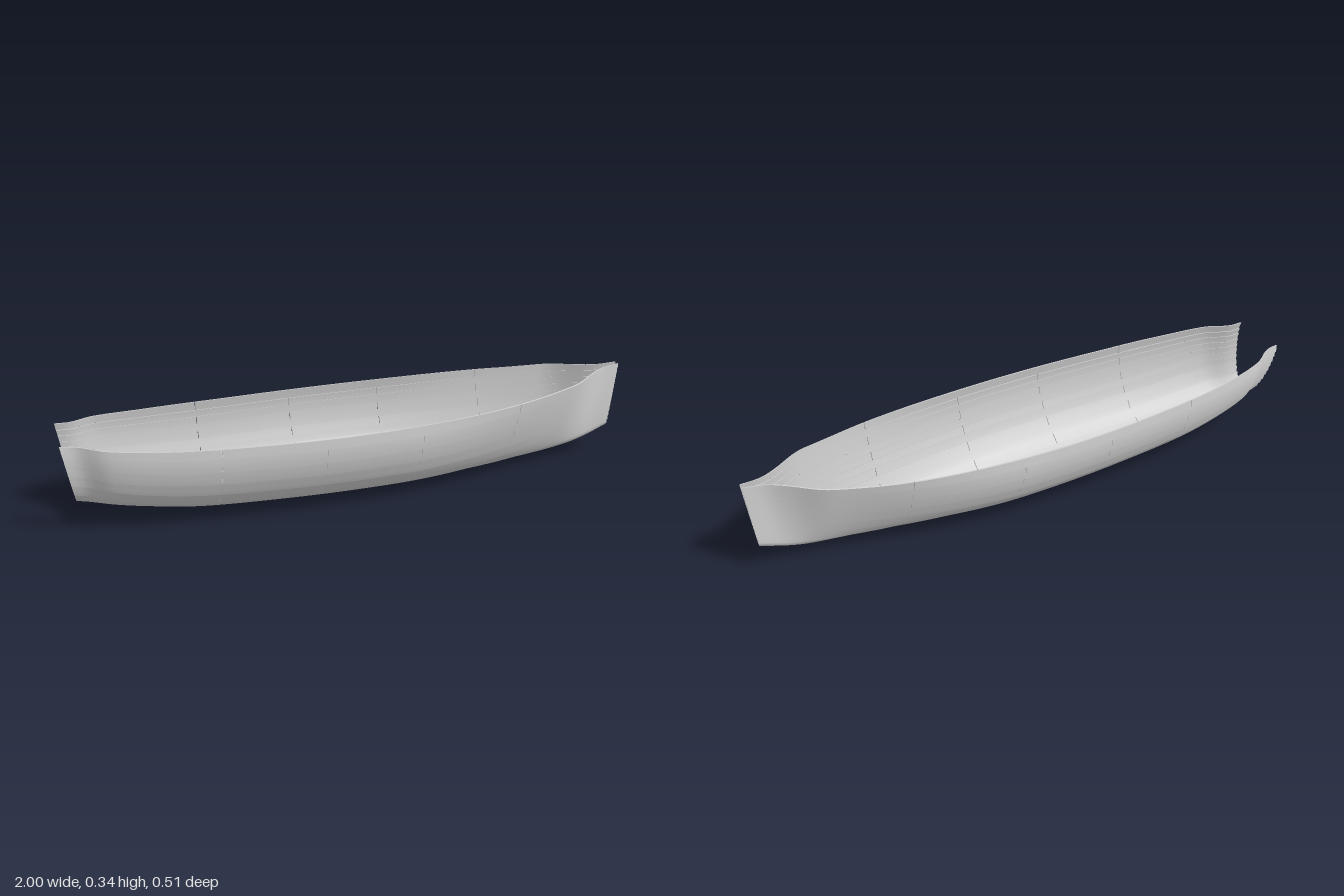
import * as THREE from 'three';

const lerp = THREE.MathUtils.lerp, smooth = THREE.MathUtils.smoothstep;
const STRAKES = 12, LAP = 0.005;

// Fair curve through [x, y] points (cubic Hermite)
function fair(pts) {
  const n = pts.length - 1;
  const slope = pts.map((p, i) => {
    const a = pts[Math.max(i - 1, 0)], b = pts[Math.min(i + 1, n)];
    return (b[1] - a[1]) / (b[0] - a[0]);
  });
  return (x) => {
    let i = 0;
    while (i < n - 1 && x > pts[i + 1][0]) i++;
    const [x0, y0] = pts[i], [x1, y1] = pts[i + 1], h = x1 - x0, t = (x - x0) / h;
    const t2 = t * t, t3 = t2 * t;
    return (2 * t3 - 3 * t2 + 1) * y0 + (t3 - 2 * t2 + t) * h * slope[i]
      + (3 * t2 - 2 * t3) * y1 + (t3 - t2) * h * slope[i + 1];
  };
}

// Lines of the hull along its length
const sheer = fair([[-1, 0.31], [-0.7, 0.29], [-0.25, 0.283], [0.2, 0.288], [0.6, 0.304], [0.8, 0.32], [1, 0.338]]);
const keel = fair([[-1, 0.08], [-0.8, 0.045], [-0.6, 0.022], [-0.3, 0.01], [0, 0.006], [0.4, 0.01],
  [0.6, 0.019], [0.8, 0.042], [0.9, 0.064], [1, 0.1]]);
const breadth = fair([[-1, 0.105], [-0.95, 0.112], [-0.87, 0.16], [-0.7, 0.2], [-0.5, 0.226], [-0.13, 0.248],
  [0.2, 0.238], [0.5, 0.2], [0.75, 0.132], [0.8, 0.108], [0.87, 0.057], [0.93, 0.023], [1, 0.011]]);

// Midship section: half breadth and height at each strake edge
const edge = (list) => fair(list.map((v, i) => [i / STRAKES, v]));
const midZ = edge([0, 0.24, 0.4, 0.55, 0.655, 0.745, 0.81, 0.87, 0.915, 0.953, 0.98, 0.997, 1]);
const midY = edge([0, 0.03, 0.08, 0.165, 0.255, 0.345, 0.435, 0.525, 0.613, 0.703, 0.8, 0.885, 1]);

// Point on the moulded surface: s along the hull, u from keel to sheer
function surface(s, u) {
  const bow = smooth(s, 0.1, 0.92), stern = 0.4 * smooth(-s, 0.5, 1);
  const bowZ = Math.pow(u, lerp(0.75, 0.25, smooth(s, 0.9, 1)));
  const f = lerp(midZ(u), bowZ, bow);
  const t = lerp(midY(u), u, Math.max(bow, stern));
  const rake = (s > 0 ? 0.025 : -0.04) * s ** 4;
  return [s - rake * (1 - t), lerp(keel(s), sheer(s), t), breadth(s) * f];
}

// Moulded point moved outward by d within its cross-section
function hullPoint(s, u, d, side) {
  const p = surface(s, u);
  const a = surface(s, Math.max(u - 0.01, 0)), b = surface(s, Math.min(u + 0.01, 1));
  const dy = b[1] - a[1], dz = b[2] - a[2], len = Math.hypot(dy, dz) || 1;
  const off = d * lerp(1, 0.5, smooth(s, 0.85, 1));
  const z = u === 0 ? 0 : Math.max(0, p[2] + off * dy / len);
  return [p[0], p[1] - off * dz / len, z * side];
}

// One strake: lapped planks butted at the given joints
function strakeGeometry(i, side, joints) {
  const pos = [], idx = [];
  const grid = (nu, nv, fn) => {
    const base = pos.length / 3;
    for (let a = 0; a <= nu; a++) for (let b = 0; b <= nv; b++) pos.push(...fn(a / nu, b / nv));
    for (let a = 0; a < nu; a++) for (let b = 0; b < nv; b++) {
      const p = base + a * (nv + 1) + b, q = p + nv + 1;
      if (side > 0) idx.push(p, q, p + 1, q, q + 1, p + 1);
      else idx.push(p, p + 1, q, q, p + 1, q + 1);
    }
  };
  const cuts = [-1, ...joints, 1];
  for (let k = 0; k < cuts.length - 1; k++) {
    const s0 = cuts[k] + (k ? 0.001 : 0);
    const s1 = cuts[k + 1] - (k < cuts.length - 2 ? 0.001 : 0);
    const n = Math.ceil((s1 - s0) * 48);
    // v runs up the strake, w from inner to outer face
    const at = (a, v, w) => hullPoint(lerp(s0, s1, a), (i + v) / STRAKES, LAP * (w - v), side);
    grid(n, 3, (a, v) => at(a, v, 1));
    grid(n, 3, (a, v) => at(a, 1 - v, 0));
    grid(n, 1, (a, w) => at(a, 0, w));
    grid(n, 1, (a, w) => at(a, 1, 1 - w));
    grid(1, 3, (w, v) => at(0, v, w));
    grid(1, 3, (w, v) => at(1, v, 1 - w));
  }
  const g = new THREE.BufferGeometry();
  g.setAttribute('position', new THREE.Float32BufferAttribute(pos, 3));
  g.setIndex(idx);
  g.computeVertexNormals();
  return g;
}

export function createModel() {
  const planking = new THREE.MeshStandardMaterial({ color: 0xcccccc, side: THREE.DoubleSide });
  planking.name = 'pale grey planking';
  const hull = new THREE.Group();
  hull.name = 'clinkerHull';
  for (const side of [1, -1]) {
    const half = new THREE.Group();
    half.name = side > 0 ? 'leftPlanking' : 'rightPlanking';
    for (let i = 0; i < STRAKES; i++) {
      // Butt joints alternate between neighbouring strakes
      const joints = i % 2 ? [-0.52, 0.52] : [-0.18, 0.15];
      const strake = new THREE.Mesh(strakeGeometry(i, side, joints), planking);
      strake.name = 'strake' + (i + 1);
      half.add(strake);
    }
    hull.add(half);
  }
  return hull;
}
